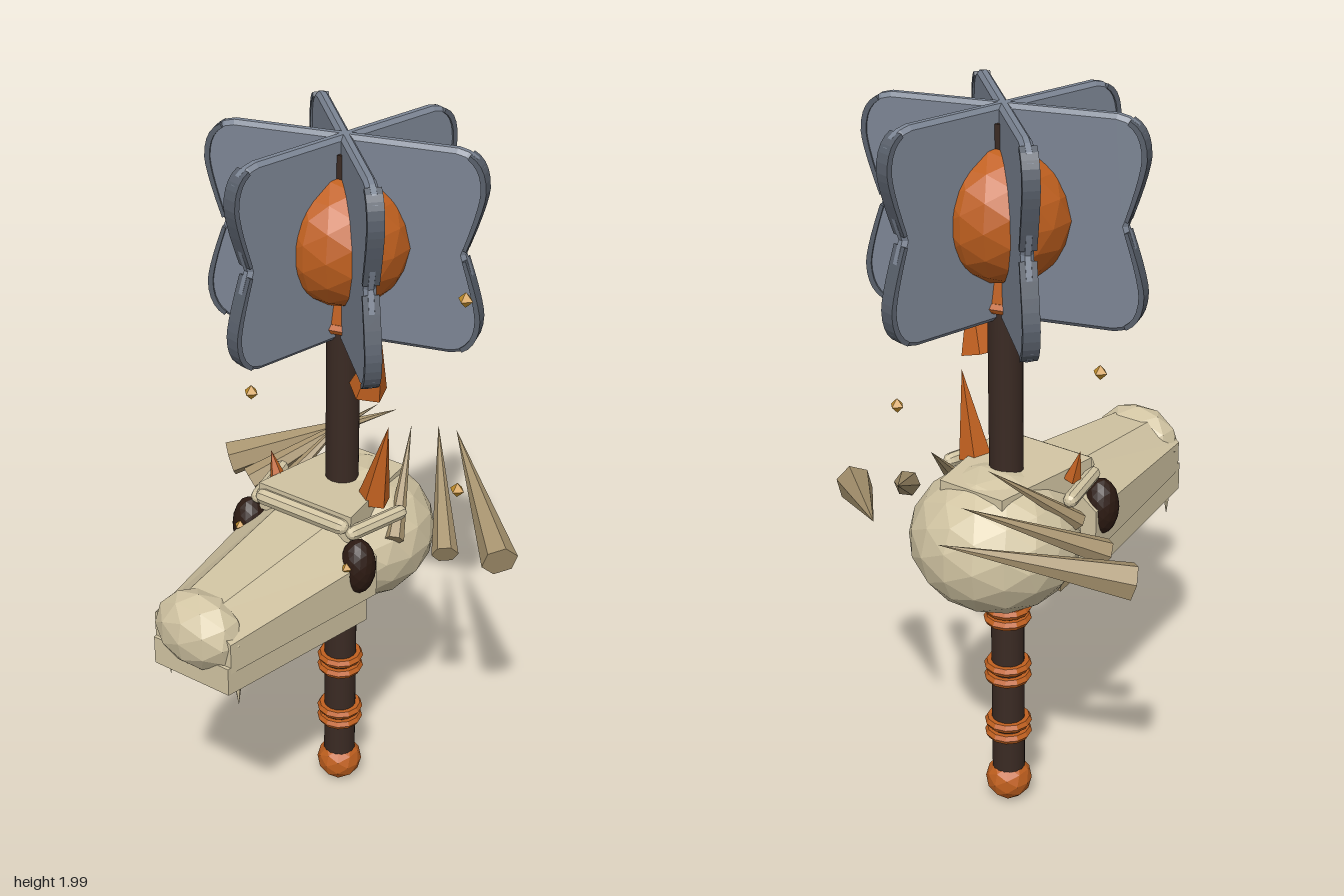
import * as THREE from 'three';

const AXIS_Z = -0.14; // shaft axis
const mat = (color, extra = {}) => new THREE.MeshStandardMaterial({ color, flatShading: true, ...extra });

export function createModel() {
  const model = new THREE.Group();
  model.name = 'skullMace';
  const bone = mat(0xd2c5a3), horn = mat(0xa8946f), steel = mat(0x7c8594), edgeSteel = mat(0x59606b);
  const wood = mat(0x3a2a23, { flatShading: false }), orange = mat(0xc0601f, { side: THREE.DoubleSide });
  const gold = mat(0xc8922c), dark = mat(0x2c1a12);

  const add = (name, geometry, material, x = 0, y = 0, z = 0, parent = model) => {
    const mesh = new THREE.Mesh(geometry, material);
    mesh.name = name;
    mesh.position.set(x, y, z);
    parent.add(mesh);
    return mesh;
  };
  // Cone running from the middle of its base to its tip
  const spike = (name, base, tip, radius, sides, material) => {
    const a = new THREE.Vector3(...base), b = new THREE.Vector3(...tip);
    const dir = b.clone().sub(a);
    const mid = a.clone().add(b).multiplyScalar(0.5);
    const mesh = add(name, new THREE.ConeGeometry(radius, dir.length(), sides), material, mid.x, mid.y, mid.z);
    mesh.quaternion.setFromUnitVectors(new THREE.Vector3(0, 1, 0), dir.normalize());
    return mesh;
  };
  // Tapered prism along z; each end is [z, half width, bottom, top]
  const taper = (sides, back, front) => {
    const g = new THREE.CylinderGeometry(1, 1, 1, sides, 1);
    g.rotateY(Math.PI / sides).rotateX(Math.PI / 2);
    const p = g.attributes.position, fit = Math.cos(Math.PI / sides);
    for (let i = 0; i < p.count; i++) {
      const [z, w, lo, hi] = p.getZ(i) > 0 ? front : back;
      p.setXYZ(i, p.getX(i) / fit * w, (lo + hi) / 2 + p.getY(i) / fit * (hi - lo) / 2, z);
    }
    g.computeVertexNormals();
    return g;
  };

  // Handle
  add('shaft', new THREE.CylinderGeometry(0.045, 0.045, 1.85, 16), wood, 0, 1.025, AXIS_Z);
  add('pommel', new THREE.IcosahedronGeometry(0.064, 1), orange, 0, 0.065, AXIS_Z);
  for (const y of [0.22, 0.255, 0.4, 0.435, 0.58, 0.612]) {
    const ring = add('gripRing', new THREE.TorusGeometry(0.051, 0.014, 6, 12), orange, 0, y, AXIS_Z);
    ring.rotation.x = Math.PI / 2;
  }

  // Mace head: six flanges round a glowing core
  const head = new THREE.Group();
  head.name = 'maceHead';
  head.position.set(0, 1.72, AXIS_Z);
  model.add(head);
  add('core', new THREE.IcosahedronGeometry(0.178, 2), orange, 0, 0, 0, head);
  add('coreNeck', new THREE.CylinderGeometry(0.05, 0.062, 0.09, 10), orange, 0, -0.2, 0, head);
  const collar = add('coreCollar', new THREE.TorusGeometry(0.052, 0.015, 6, 12), orange, 0, -0.235, 0, head);
  collar.rotation.x = Math.PI / 2;

  const outline = new THREE.Shape();
  outline.moveTo(0, -0.262);
  outline.lineTo(0.285, -0.262);
  outline.quadraticCurveTo(0.352, -0.255, 0.352, -0.17);
  outline.quadraticCurveTo(0.35, -0.13, 0.305, 0);
  outline.quadraticCurveTo(0.35, 0.13, 0.352, 0.17);
  outline.quadraticCurveTo(0.352, 0.255, 0.285, 0.262);
  outline.lineTo(0, 0.262);
  const plate = new THREE.ExtrudeGeometry(outline, {
    depth: 0.014, bevelEnabled: true, bevelThickness: 0.009, bevelSize: 0.011, bevelSegments: 1, curveSegments: 5,
  }).translate(0, 0, -0.007);
  // Thicker rim follows each of the two outer lobes
  const lobe = new THREE.Shape();
  lobe.moveTo(0.32, 0.262);
  lobe.quadraticCurveTo(0.364, 0.24, 0.364, 0.17);
  lobe.quadraticCurveTo(0.362, 0.13, 0.32, 0.012);
  lobe.lineTo(0.311, 0.016);
  lobe.quadraticCurveTo(0.348, 0.13, 0.35, 0.17);
  lobe.quadraticCurveTo(0.35, 0.23, 0.314, 0.252);
  const rim = new THREE.ExtrudeGeometry(lobe, { depth: 0.042, bevelEnabled: false, curveSegments: 5 })
    .translate(0, 0, -0.021);
  for (let i = 0; i < 6; i++) {
    const flange = new THREE.Group();
    flange.name = 'flange';
    flange.rotation.y = -THREE.MathUtils.degToRad(-17 + i * 60);
    head.add(flange);
    add('flangePlate', plate, steel, 0, 0, 0, flange);
    add('upperRim', rim, edgeSteel, 0, 0, 0, flange);
    add('lowerRim', rim, edgeSteel, 0, 0, 0, flange).rotation.x = Math.PI;
  }

  // Skull
  add('cranium', new THREE.IcosahedronGeometry(1, 2).scale(0.23, 0.195, 0.22), bone, 0, 0.845, -0.19);
  add('snout', taper(8, [-0.02, 0.2, 0.7, 0.99], [0.5, 0.122, 0.735, 0.945]), bone);
  add('upperJaw', taper(4, [-0.02, 0.17, 0.69, 0.8], [0.51, 0.12, 0.735, 0.815]), bone);
  add('nose', new THREE.IcosahedronGeometry(1, 1).scale(0.128, 0.105, 0.085), bone, 0, 0.868, 0.472);
  add('skullTop', taper(4, [-0.29, 0.1, 0.95, 1.02], [0.03, 0.15, 0.95, 1.03]), bone);
  const brow = add('browRidge', new THREE.CapsuleGeometry(0.022, 0.25, 3, 8), bone, 0, 1.0, 0.04);
  brow.rotation.z = Math.PI / 2;
  add('lowerJaw', taper(4, [-0.05, 0.11, 0.652, 0.685], [0.43, 0.08, 0.695, 0.72]), horn);

  // Paired skull parts; s = 1 is the model's left
  for (const s of [1, -1]) {
    add('eyeSocket', new THREE.IcosahedronGeometry(1, 2).scale(0.048, 0.08, 0.048), dark, s * 0.178, 0.895, 0.035);
    add('pupil', new THREE.OctahedronGeometry(0.016), gold, s * 0.175, 0.912, 0.083);
    const ridge = add('sideBrow', new THREE.CapsuleGeometry(0.02, 0.16, 3, 8), bone, s * 0.175, 0.985, -0.05);
    ridge.rotation.set(Math.PI / 2, 0, s * 0.25);

    spike('largeHorn', [s * 0.452, 0.878, -0.225], [s * 0.1, 1.01, -0.55], 0.05, 6, horn);
    spike('middleHorn', [s * 0.325, 0.888, -0.155], [s * 0.1, 1.07, -0.455], 0.036, 6, horn);
    spike('smallHorn', [s * 0.2, 0.915, -0.1], [s * 0.09, 1.12, -0.335], 0.026, 6, horn);

    for (let i = 0; i < 6; i++) {
      const t = i / 5, x = s * (0.125 - 0.03 * t), z = 0.05 + 0.36 * t, y = 0.705 + 0.03 * t;
      spike('tooth', [x, y, z], [x, y - 0.04, z], 0.009, 5, bone);
    }
    spike('fang', [s * 0.11, 0.75, 0.46], [s * 0.112, 0.672, 0.46], 0.012, 5, bone);
  }

  // Flames
  spike('tallFlame', [0.125, 1.01, -0.11], [0.17, 1.245, -0.105], 0.045, 5, orange);
  spike('floatingFlame', [0.09, 1.32, -0.125], [0.145, 1.5, -0.1], 0.052, 5, orange);
  spike('smallFlame', [-0.145, 1.0, -0.05], [-0.17, 1.085, -0.05], 0.025, 5, orange);

  // Floating sparks
  for (const [x, y, z] of [[-0.19, 1.82, 0.01], [0.36, 1.645, -0.145], [-0.183, 1.285, 0.015], [0.36, 1.105, -0.145]]) {
    add('spark', new THREE.OctahedronGeometry(0.021), gold, x, y, z);
  }
  return model;
}
